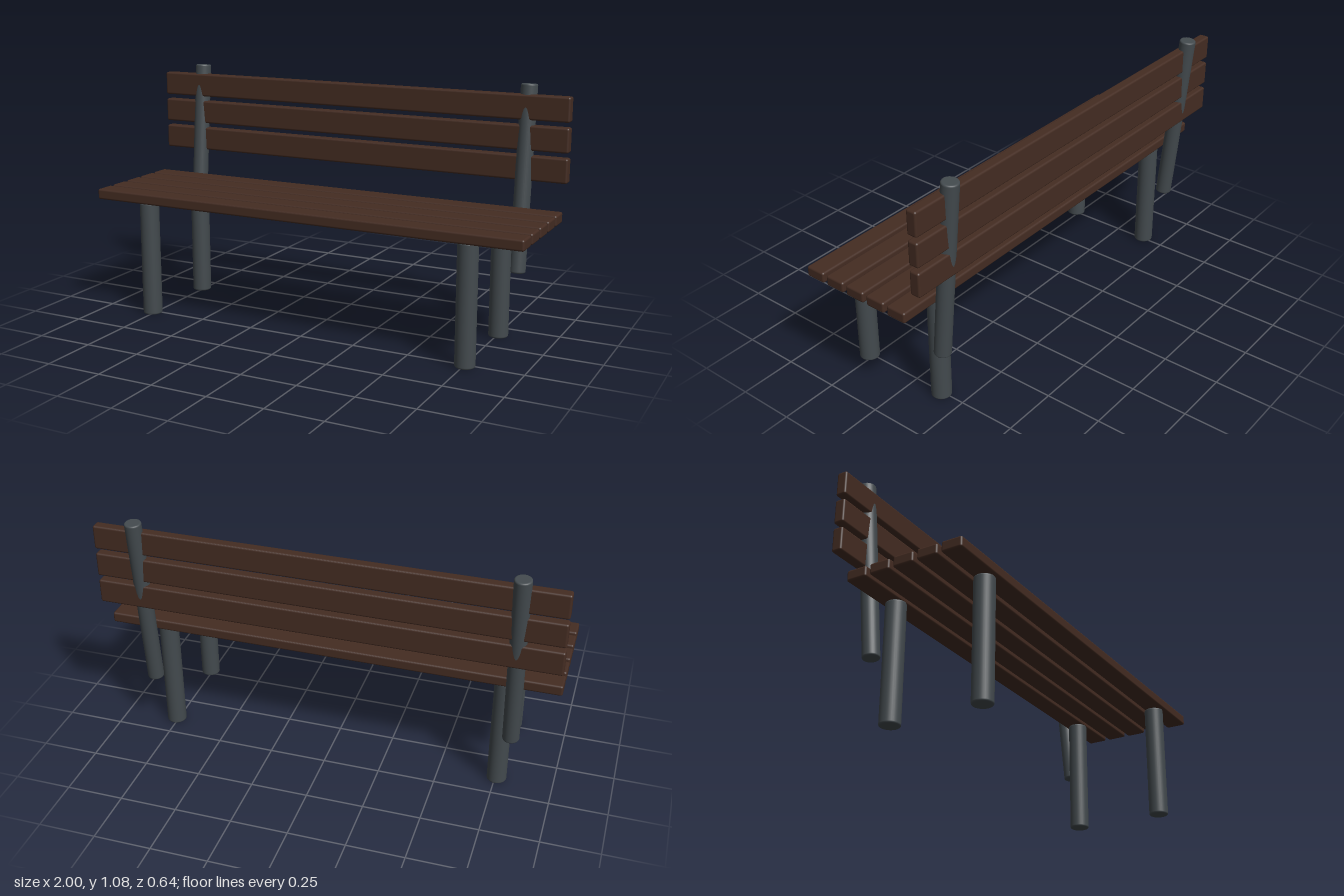
import * as THREE from 'three';
import { RoundedBoxGeometry } from 'three/addons/geometries/RoundedBoxGeometry.js';

const wood = new THREE.MeshStandardMaterial({ name: 'dark brown wood', color: 0x442c22 });
const metal = new THREE.MeshStandardMaterial({ name: 'slate grey metal', color: 0x434a4e });

// Upright round bar with softly rounded rims, centred on its origin
function barGeometry(radius, length, rim = 0.007) {
  const h = length / 2;
  const lower = [[0, -h], [radius - rim - 0.001, -h]];
  for (let i = 0; i <= 4; i++) {
    const a = (i / 4) * Math.PI / 2;
    lower.push([radius - rim + rim * Math.sin(a), -h + rim - rim * Math.cos(a)]);
  }
  lower.push([radius, -h + rim + 0.001]);
  const upper = lower.map(([x, y]) => [x, -y]).reverse();
  return new THREE.LatheGeometry([...lower, ...upper].map(([x, y]) => new THREE.Vector2(x, y)), 32);
}

export function createModel() {
  const bench = new THREE.Group();
  bench.name = 'bench';

  const add = (name, geometry, material, x, y, z) => {
    const mesh = new THREE.Mesh(geometry, material);
    mesh.name = name;
    mesh.position.set(x, y, z);
    bench.add(mesh);
    return mesh;
  };

  // Five seat slats, front to back
  const seatSlat = new RoundedBoxGeometry(2, 0.047, 0.091, 3, 0.009);
  for (let i = 0; i < 5; i++) add(`seatSlat${i + 1}`, seatSlat, wood, 0, 0.542, 0.278 - i * 0.108);

  // Three upright backrest slats
  const backSlat = new RoundedBoxGeometry(2, 0.107, 0.047, 3, 0.009);
  for (let i = 0; i < 3; i++) add(`backSlat${i + 1}`, backSlat, wood, 0, 0.726 + i * 0.129, -0.263);

  // Straight legs and leaning backrest posts on both sides
  const leg = barGeometry(0.043, 0.52);
  const post = barGeometry(0.036, 0.809);
  for (const [side, s] of [['left', 1], ['right', -1]]) {
    add(`${side}FrontLeg`, leg, metal, s * 0.757, 0.26, 0.268);
    add(`${side}RearLeg`, leg, metal, s * 0.757, 0.26, -0.144);
    add(`${side}BackPost`, post, metal, s * 0.81, 0.677, -0.247).rotation.x = -0.0925;
  }
  return bench;
}
